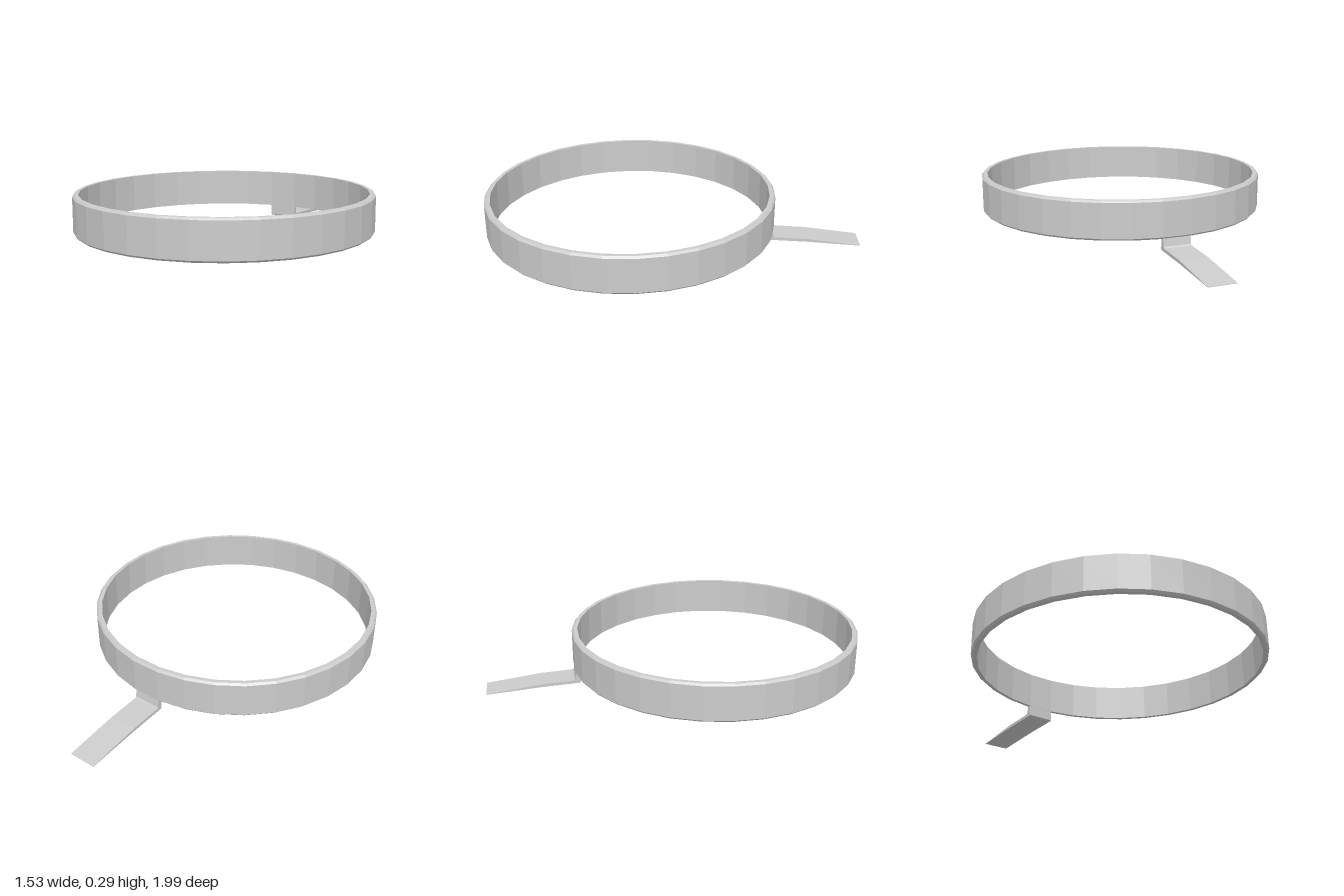
import * as THREE from 'three';

const SIDES = 32;
const RING_Z = 0.23;

export function createModel() {
  const model = new THREE.Group();
  const material = new THREE.MeshStandardMaterial({ color: 0xcccccc, flatShading: true });
  const points = (list) => list.map(([x, y]) => new THREE.Vector2(x, y));

  // Faceted band with chamfered outer rims
  const section = points([
    [0.735, 0.09], [0.755, 0.09], [0.765, 0.1], [0.765, 0.277],
    [0.755, 0.287], [0.735, 0.287], [0.735, 0.09],
  ]);
  const ring = new THREE.Mesh(new THREE.LatheGeometry(section, SIDES), material);
  ring.name = 'ring';
  ring.position.z = RING_Z;
  model.add(ring);

  // Bent tab: drops below one facet, then tapers outward to a thin tip
  const profile = new THREE.Shape(points([
    [0.733, 0.095], [0.733, 0.035], [0.739, 0.03], [0.94, 0.021], [1.228, 0],
    [1.228, 0.002], [0.94, 0.037], [0.768, 0.046], [0.761, 0.053], [0.753, 0.095],
  ]));
  const width = 0.147;
  const tabGeometry = new THREE.ExtrudeGeometry(profile, { depth: width, bevelEnabled: false });
  tabGeometry.translate(0, 0, -width / 2);
  const tab = new THREE.Mesh(tabGeometry, material);
  tab.name = 'tab';
  tab.position.z = RING_Z;
  tab.rotation.y = Math.PI / 2 - Math.PI / SIDES; // centred on the facet beside the rear vertex
  model.add(tab);

  return model;
}
